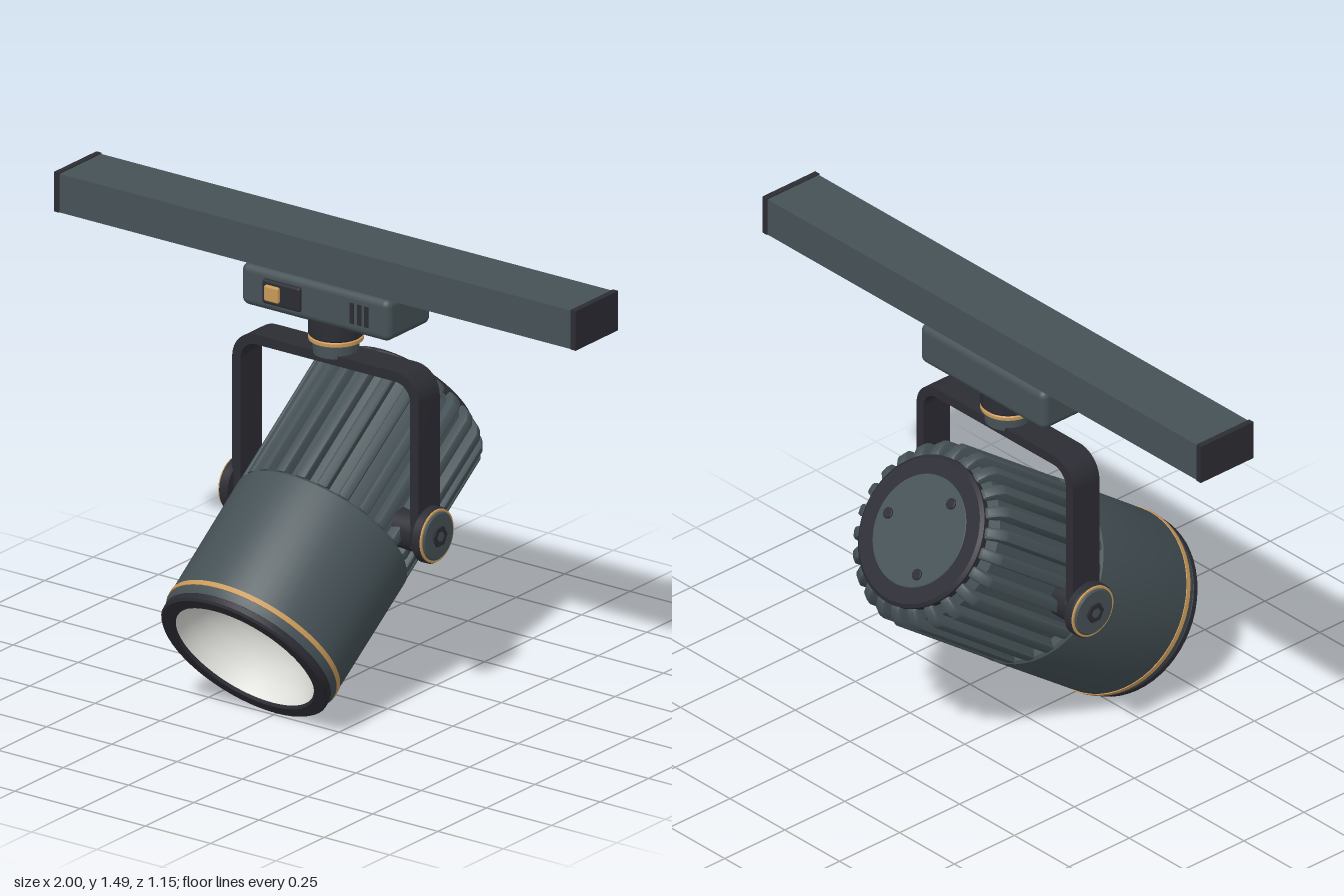
import * as THREE from 'three';
import { toCreasedNormals } from 'three/addons/utils/BufferGeometryUtils.js';
import { RoundedBoxGeometry } from 'three/addons/geometries/RoundedBoxGeometry.js';

const flat = (name, color) => Object.assign(new THREE.MeshStandardMaterial({ color }), { name });

export function createModel() {
  const slate = flat('slate', 0x465257);
  const dark = flat('charcoal', 0x2c2c34);
  const brass = flat('brass', 0xc8995a);
  const silver = flat('silver', 0xe4e4e0);

  const CZ = -0.07; // depth of track, yoke and pivot
  const model = new THREE.Group();
  model.name = 'trackSpotlight';

  const add = (parent, name, geo, mat, x = 0, y = 0, z = 0) => {
    const mesh = new THREE.Mesh(geo, mat);
    mesh.name = name;
    mesh.position.set(x, y, z);
    parent.add(mesh);
    return mesh;
  };
  const box = (w, h, d) => new THREE.BoxGeometry(w, h, d);
  const shape = pts => new THREE.Shape(pts.map(p => new THREE.Vector2(...p)));
  // Turned part; profile is [radius, height], outer side going up
  const turned = (pts, seg = 56) => toCreasedNormals(
    new THREE.LatheGeometry(pts.map(p => new THREE.Vector2(...p)), seg), 0.5);
  const turnedZ = (pts, seg) => turned(pts, seg).rotateX(Math.PI / 2);
  // Solid disc with a small chamfer
  const disc = (r, y0, y1, c = 0.005) =>
    [[0, y0], [r - c, y0], [r, y0 + c], [r, y1 - c], [r - c, y1], [0, y1]];

  // --- Track: channel open at the bottom, lined dark, with brass conductors
  const track = new THREE.Group();
  track.name = 'track';
  track.position.set(0, 1.375, CZ);
  model.add(track);
  const channel = (hw, h, slot, depth, length) => new THREE.ExtrudeGeometry(
    shape([[-hw, 0], [-slot, 0], [-slot, depth], [slot, depth], [slot, 0], [hw, 0], [hw, h], [-hw, h]]),
    { depth: length, bevelEnabled: false }).translate(0, 0, -length / 2).rotateY(Math.PI / 2);
  add(track, 'trackChannel', channel(0.107, 0.127, 0.052, 0.085, 1.96), slate);
  add(track, 'slotLining', channel(0.052, 0.084, 0.046, 0.078, 1.96), dark, 0, 0.001);
  for (const s of [-1, 1]) {
    add(track, 'conductor', box(1.94, 0.012, 0.01), brass, 0, 0.04, s * 0.042);
    add(track, 'trackEndCap', box(0.02, 0.13, 0.22), dark, s * 0.99, 0.065, 0);
  }

  // --- Adapter with switch and vents
  const adapter = new THREE.Group();
  adapter.name = 'adapter';
  adapter.position.set(0, 1.303, CZ);
  model.add(adapter);
  add(adapter, 'adapterBody', new RoundedBoxGeometry(0.57, 0.138, 0.226, 4, 0.025), slate);
  add(adapter, 'switchPlate', new RoundedBoxGeometry(0.145, 0.08, 0.03, 2, 0.008), dark, -0.12, 0, 0.11);
  add(adapter, 'switchButton', new RoundedBoxGeometry(0.055, 0.052, 0.03, 2, 0.006), brass, -0.15, 0, 0.121);
  for (let i = 0; i < 3; i++)
    add(adapter, 'ventSlot', box(0.016, 0.068, 0.008), dark, 0.145 + i * 0.028, 0, 0.111);

  // --- Swivel neck
  const neck = new THREE.Group();
  neck.name = 'neck';
  neck.position.z = CZ;
  model.add(neck);
  add(neck, 'neckCollar', turned(disc(0.086, 1.168, 1.24)), dark);
  add(neck, 'neckRing', turned(disc(0.086, 1.152, 1.168, 0.003)), brass);
  add(neck, 'neckBase', turned(disc(0.072, 1.105, 1.153)), slate);

  // --- Yoke: U-shaped strap with rounded corners
  const u = new THREE.Shape();
  const xo = 0.357, xi = 0.325, top = 1.12, bottom = 0.55, ro = 0.09, ri = 0.058;
  u.moveTo(xo, bottom).lineTo(xo, top - ro);
  u.absarc(xo - ro, top - ro, ro, 0, Math.PI / 2);
  u.absarc(ro - xo, top - ro, ro, Math.PI / 2, Math.PI);
  u.lineTo(-xo, bottom).lineTo(-xi, bottom);
  u.absarc(ro - xo, top - ro, ri, Math.PI, Math.PI / 2, true);
  u.absarc(xo - ro, top - ro, ri, Math.PI / 2, 0, true);
  u.lineTo(xi, bottom);
  const strap = new THREE.ExtrudeGeometry(u, { depth: 0.11, bevelEnabled: false, curveSegments: 10 });
  add(model, 'yoke', toCreasedNormals(strap.translate(0, 0, -0.055), 0.5), dark, 0, 0, CZ);

  // --- Pivot knobs, one per side
  for (const s of [-1, 1]) {
    const knob = new THREE.Group();
    knob.name = s > 0 ? 'leftKnob' : 'rightKnob';
    knob.position.set(0, 0.59, CZ);
    knob.rotation.z = -s * Math.PI / 2;
    model.add(knob);
    add(knob, 'pivotBoss', turned(disc(0.066, 0.24, 0.33), 40), dark);
    add(knob, 'knobBody', turned(disc(0.09, 0.352, 0.385), 40), dark);
    add(knob, 'knobRing', turned(disc(0.086, 0.38, 0.389, 0.002), 40), brass);
    add(knob, 'knobFace', turned(disc(0.078, 0.38, 0.395), 40), slate);
    add(knob, 'knobBolt', new THREE.CylinderGeometry(0.034, 0.034, 0.012, 6), dark, 0, 0.396, 0);
    add(knob, 'boltSocket', new THREE.CylinderGeometry(0.017, 0.017, 0.004, 6), slate, 0, 0.401, 0);
  }

  // --- Lamp head, built along local z and tilted down
  const head = new THREE.Group();
  head.name = 'lampHead';
  head.position.set(0, 0.59, CZ);
  head.rotation.x = Math.PI / 5;
  model.add(head);

  add(head, 'housing', turnedZ([[0.25, 0.08], [0.291, 0.08], [0.3, 0.09], [0.298, 0.545],
    [0.29, 0.565], [0.25, 0.565]]), slate);
  add(head, 'housingRing', turnedZ([[0.29, 0.519], [0.301, 0.519], [0.301, 0.536], [0.29, 0.536]]), brass);
  add(head, 'bezel', turnedZ([[0.27, 0.555], [0.287, 0.558], [0.293, 0.564], [0.293, 0.583],
    [0.286, 0.59], [0.25, 0.59], [0.243, 0.582], [0.243, 0.56]]), dark);
  add(head, 'reflector', turnedZ([[0.244, 0.583], [0.225, 0.535], [0.19, 0.485], [0.145, 0.445],
    [0.085, 0.42], [0, 0.418]]), silver);
  add(head, 'emitter', turnedZ([[0.09, 0.415], [0.088, 0.425], [0.065, 0.437], [0.035, 0.443],
    [0, 0.445]], 32), brass);

  // Heat sink: core with radial fins
  add(head, 'heatSinkCore', turnedZ([[0, -0.43], [0.235, -0.43], [0.264, -0.395], [0.264, 0.085]]), slate);
  const finGeo = toCreasedNormals(new THREE.ExtrudeGeometry(
    shape([[0.23, -0.432], [0.25, -0.432], [0.276, -0.415], [0.29, -0.39], [0.29, 0.074], [0.23, 0.074]]),
    { depth: 0.02, bevelSize: 0.008, bevelThickness: 0.009, bevelSegments: 2 }), 0.6)
    .translate(0, 0, -0.01).rotateX(Math.PI / 2);
  const FINS = 24;
  for (let i = 0; i < FINS; i++)
    add(head, 'fin', finGeo, slate).rotation.z = (i + 0.5) / FINS * Math.PI * 2;

  // Rear cap with three screws
  add(head, 'rearRim', turnedZ([[0.18, -0.456], [0.232, -0.456], [0.243, -0.447], [0.243, -0.425],
    [0.18, -0.425]]), dark);
  add(head, 'rearPlate', turnedZ([[0, -0.458], [0.178, -0.458], [0.183, -0.453], [0.183, -0.43]]), slate);
  for (let i = 0; i < 3; i++) {
    const a = i * Math.PI * 2 / 3;
    add(head, 'rearScrew', turnedZ(disc(0.018, -0.465, -0.45, 0.003), 16), dark,
      0.14 * Math.cos(a), 0.14 * Math.sin(a), 0);
  }
  return model;
}
